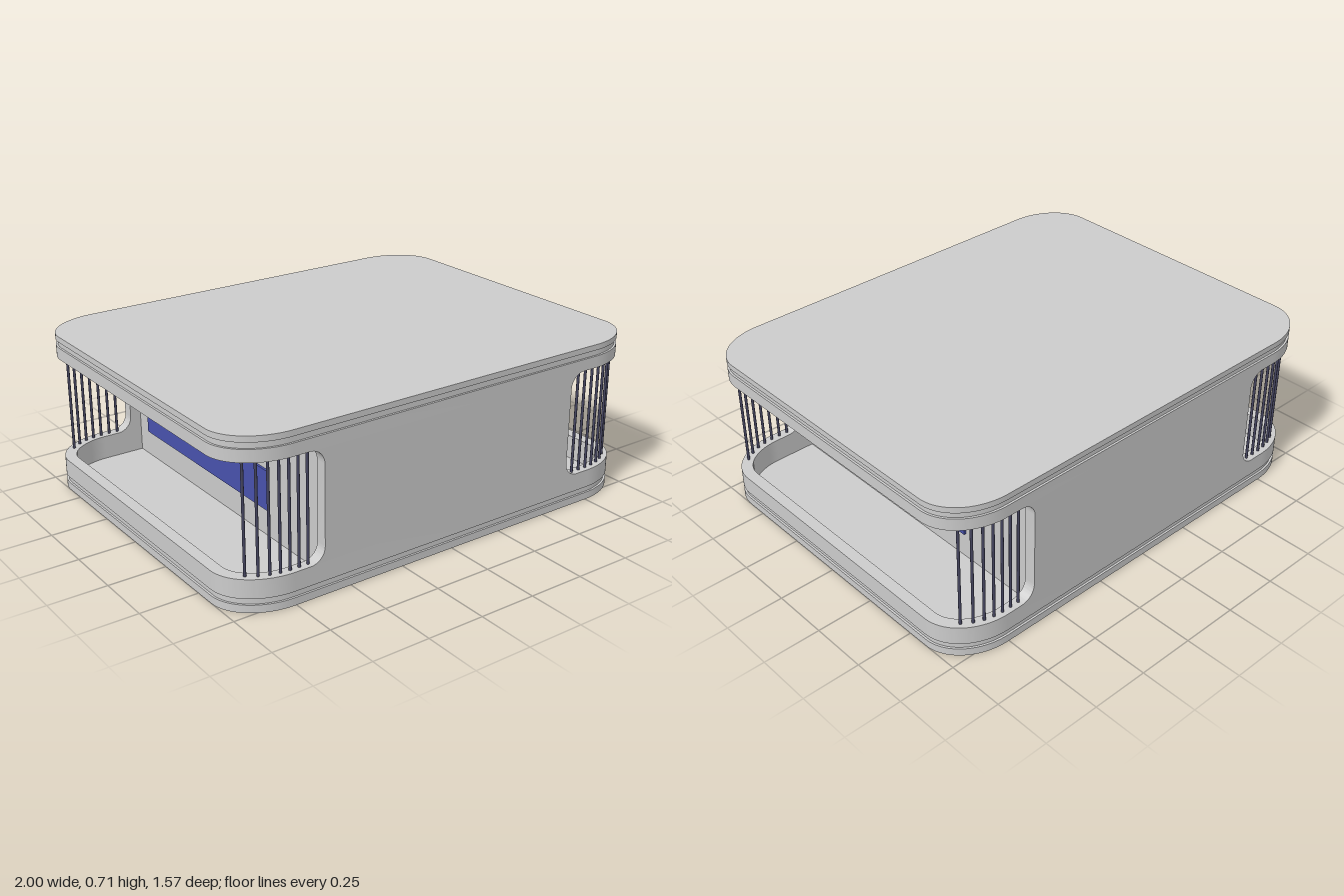
import * as THREE from 'three';
import { toCreasedNormals } from 'three/addons/utils/BufferGeometryUtils.js';

const HX = 1, HZ = 0.787, RX = 0.247, RZ = 0.195; // half sizes and corner radii
const WALL = 0.05;
const BASE = 0.033, LOW = 0.139, HIGH = 0.603, LID = 0.681, TOP = 0.706;

const grey = new THREE.MeshStandardMaterial({ color: 0xcccccc });
const blue = new THREE.MeshStandardMaterial({ color: 0x4852ad });
const dark = new THREE.MeshStandardMaterial({ color: 0x44445e });

// Rounded rectangle seen from above, moved inwards by an inset
function outline(inset, Type = THREE.Shape) {
  const x = HX - inset, z = HZ - inset, rx = RX - inset, rz = RZ - inset;
  const s = new Type();
  const corners = [[1, 1], [-1, 1], [-1, -1], [1, -1]];
  s.moveTo(x, z - rz);
  corners.forEach(([sx, sz], i) =>
    s.absellipse(sx * (x - rx), sz * (z - rz), rx, rz, i * Math.PI / 2, (i + 1) * Math.PI / 2, false, 0));
  s.closePath();
  return s;
}

// Horizontal slab or ring between two heights
function layer(name, y0, y1, inset, hollow) {
  const shape = outline(inset);
  if (hollow) shape.holes.push(outline(WALL, THREE.Path));
  const geo = new THREE.ExtrudeGeometry(shape, { depth: y1 - y0, bevelEnabled: false, curveSegments: 16 });
  geo.rotateX(-Math.PI / 2).translate(0, y0, 0);
  return part(name, toCreasedNormals(geo, 0.5), grey);
}

function part(name, geo, material) {
  const mesh = new THREE.Mesh(geo, material);
  mesh.name = name;
  return mesh;
}

// Long wall that flares into the rims with rounded fillets
function wallGeometry() {
  const x = 0.62, r = 0.065, P = Math.PI;
  const s = new THREE.Shape();
  s.moveTo(-x - r, LOW);
  s.lineTo(x + r, LOW);
  s.absarc(x + r, LOW + r, r, 1.5 * P, P, true);
  s.absarc(x + r, HIGH - r, r, P, 0.5 * P, true);
  s.lineTo(-x - r, HIGH);
  s.absarc(-x - r, HIGH - r, r, 0.5 * P, 0, true);
  s.absarc(-x - r, LOW + r, r, 0, -0.5 * P, true);
  const geo = new THREE.ExtrudeGeometry(s, { depth: WALL, bevelEnabled: false, curveSegments: 10 });
  return toCreasedNormals(geo.translate(0, 0, HZ - WALL), 0.5);
}

// Depth of the wall's centre line at a given x
function centreLine(x) {
  const c = WALL / 2, t = Math.max(0, x - (HX - RX)) / (RX - c);
  return HZ - RZ + (RZ - c) * Math.sqrt(1 - t * t);
}

export function createModel() {
  const model = new THREE.Group();
  model.name = 'enclosure';

  // Stacked base and lid layers, with a shallow groove in each
  model.add(
    layer('basePlate', 0, BASE, 0, false),
    layer('lowerGroove', BASE, 0.059, 0.009, true),
    layer('lowerRim', 0.059, LOW, 0, true),
    layer('upperRim', HIGH, 0.655, 0, true),
    layer('upperGroove', 0.655, LID, 0.009, true),
    layer('topPlate', LID, TOP, 0, false)
  );

  // Each half: a long wall, an inner partition and its blue panel
  const wall = wallGeometry();
  const partition = new THREE.BoxGeometry(0.05, LID - BASE, 2 * (HZ - WALL));
  partition.translate(0.545, (LID + BASE) / 2, 0);
  const panel = new THREE.BoxGeometry(0.012, 0.175, 0.985).translate(0.574, 0.2385, 0.158);
  for (const side of [0, 1]) {
    const half = new THREE.Group();
    half.name = side ? 'backHalf' : 'frontHalf';
    half.rotation.y = side * Math.PI;
    half.add(part('wall', wall, grey), part('partition', partition, grey), part('bluePanel', panel, blue));
    model.add(half);
  }

  // Seven thin bars around every corner
  const bar = new THREE.CylinderGeometry(0.006, 0.006, HIGH - LOW + 0.02, 10);
  for (const sx of [-1, 1]) for (const sz of [-1, 1]) {
    const bars = new THREE.Group();
    bars.name = 'cornerBars';
    for (let i = 0; i < 7; i++) {
      const x = 0.68 + i * 0.04;
      const mesh = part('bar', bar, dark);
      mesh.position.set(sx * x, (HIGH + LOW) / 2, sz * centreLine(x));
      bars.add(mesh);
    }
    model.add(bars);
  }
  return model;
}
